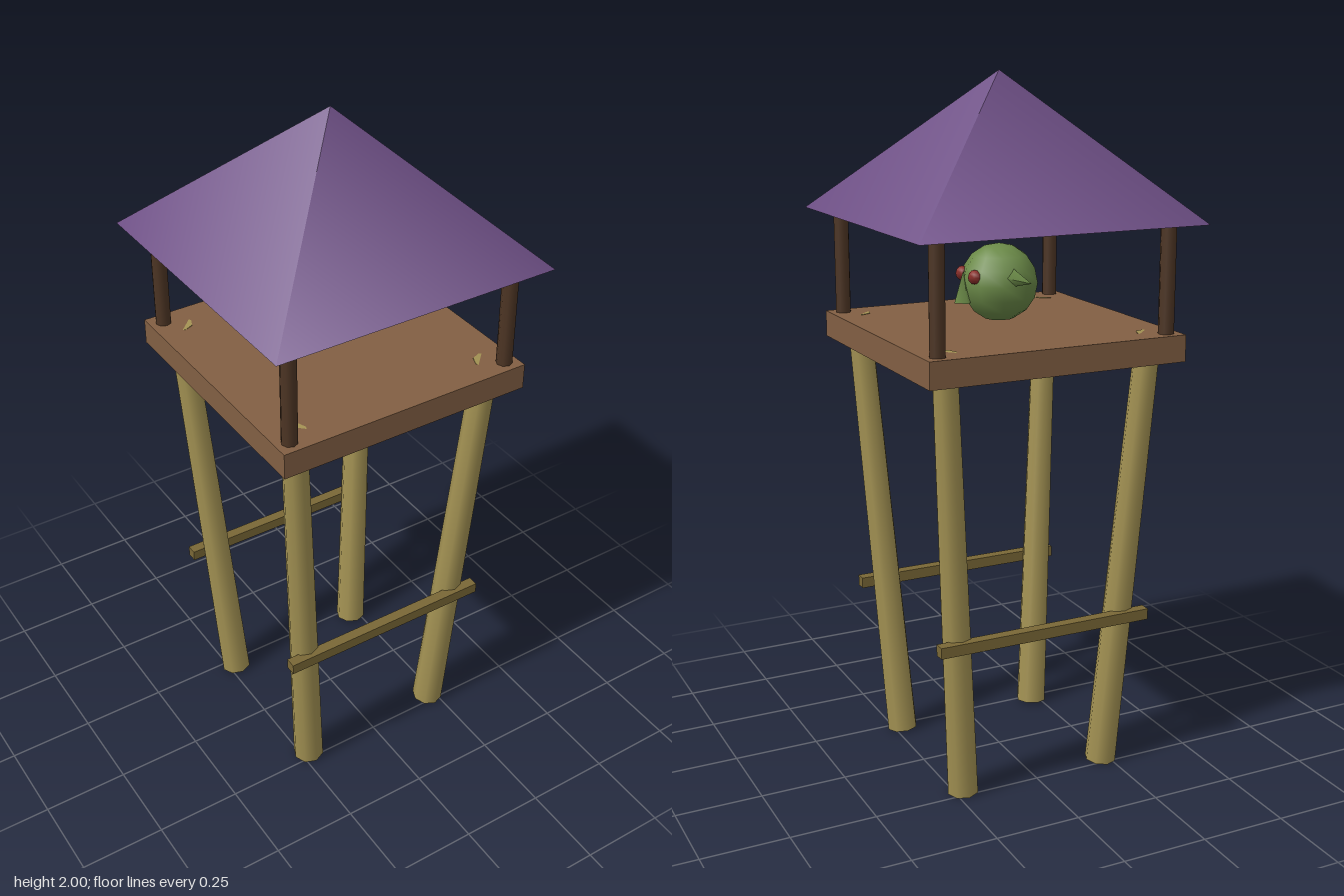
import * as THREE from 'three';

const material = (name, color) => {
  const m = new THREE.MeshStandardMaterial({ color });
  m.name = name;
  return m;
};

export function createModel() {
  const model = new THREE.Group();
  model.name = 'watchtower';

  const purple = material('roof purple', 0x6f5087);
  const brown = material('plank brown', 0x825f43);
  const darkBrown = material('post dark brown', 0x4d3524);
  const straw = material('leg straw', 0xa39253);
  const olive = material('bar olive', 0x7a6836);
  const green = material('skin green', 0x6b8a48);
  const red = material('eye red', 0x8c2f2a);

  const add = (name, geometry, mat, x, y, z, parent = model) => {
    const mesh = new THREE.Mesh(geometry, mat);
    mesh.name = name;
    mesh.position.set(x, y, z);
    parent.add(mesh);
    return mesh;
  };

  // Splayed legs and upright roof posts, one of each per corner
  const up = new THREE.Vector3(0, 1, 0);
  for (const sx of [-1, 1]) {
    for (const sz of [-1, 1]) {
      const foot = new THREE.Vector3(sx * 0.225, 0.004, sz * 0.225);
      const head = new THREE.Vector3(sx * 0.306, 1.303, sz * 0.306);
      const axis = head.clone().sub(foot);
      const mid = foot.clone().add(head).multiplyScalar(0.5);
      const leg = add('leg', new THREE.CylinderGeometry(0.036, 0.046, axis.length(), 8), straw, mid.x, mid.y, mid.z);
      leg.quaternion.setFromUnitVectors(up, axis.normalize());

      add('roofPost', new THREE.CylinderGeometry(0.0225, 0.0225, 0.32, 8), darkBrown, sx * 0.34, 1.455, sz * 0.34);
    }
  }

  // Cross bars on the front and back
  for (const sz of [-1, 1]) {
    add('crossBar', new THREE.BoxGeometry(0.65, 0.032, 0.032), olive, 0, 0.476, sz * 0.295);
  }

  // Deck
  add('platform', new THREE.BoxGeometry(0.76, 0.075, 0.76), brown, 0, 1.267, 0);

  // Four-sided roof
  const roof = add('roof', new THREE.ConeGeometry(0.42 * Math.SQRT2, 0.395, 4), purple, 0, 1.8025, 0);
  roof.rotation.y = Math.PI / 4;

  // Lookout's head, facing +x
  const lookout = new THREE.Group();
  lookout.name = 'lookout';
  lookout.position.set(0, 1.42, 0);
  model.add(lookout);
  add('head', new THREE.SphereGeometry(0.11, 10, 8), green, 0, 0, 0, lookout);
  add('nose', new THREE.ConeGeometry(0.028, 0.09, 4), green, 0.11, -0.005, 0, lookout);
  for (const s of [-1, 1]) {
    const ear = add('ear', new THREE.ConeGeometry(0.03, 0.13, 4), green, 0, 0.025, s * 0.135, lookout);
    ear.rotation.x = s * Math.PI / 2;
    add('eye', new THREE.SphereGeometry(0.02, 6, 6), red, 0.095, 0.026, s * 0.041, lookout);
  }

  return model;
}
